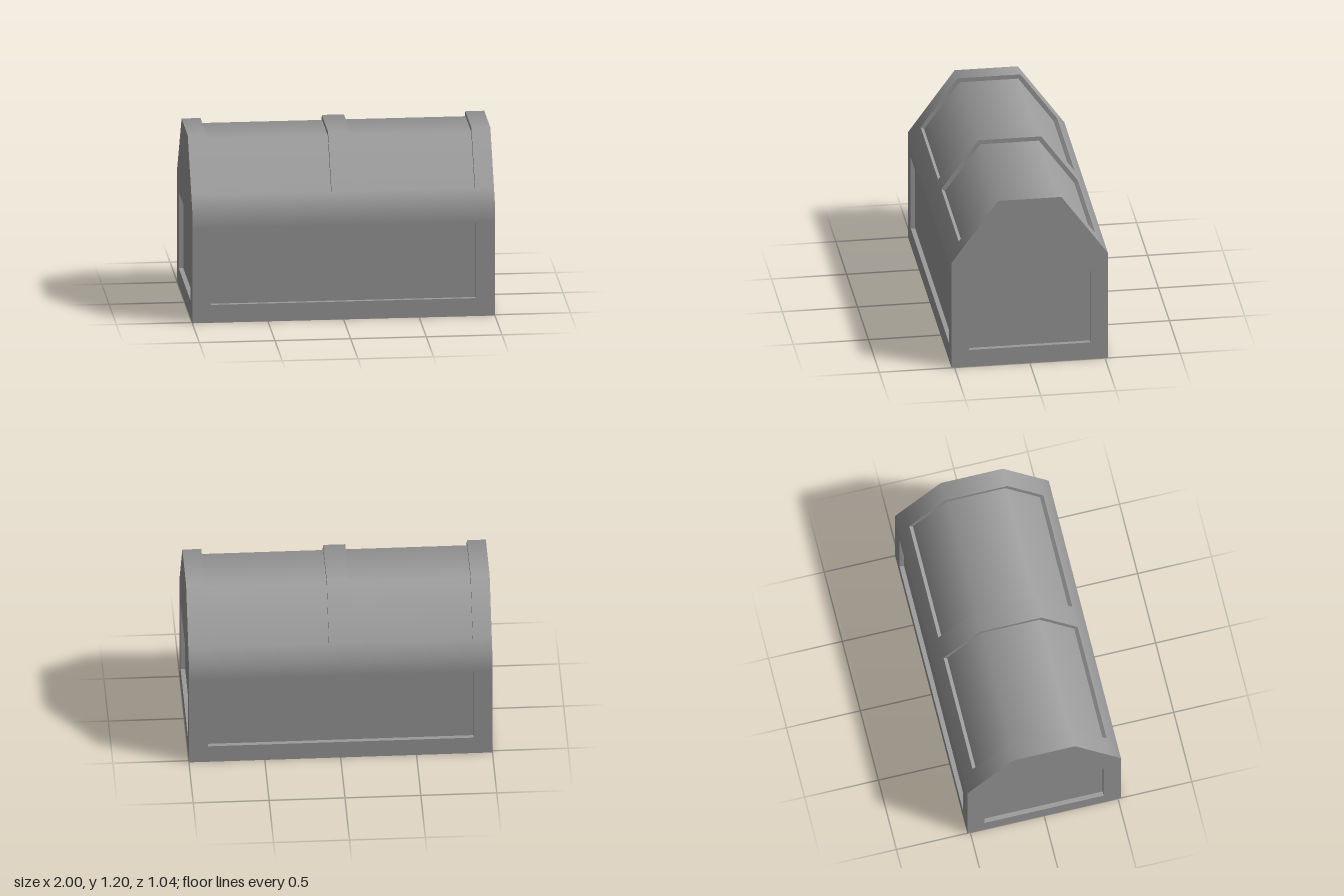
import * as THREE from 'three';
import { mergeGeometries } from 'three/addons/utils/BufferGeometryUtils.js';

const DEPTH = 0.03; // how far the panels are sunk
const LOW = 0.122, HIGH = 0.642; // height range of the wall panels
const TOP = 1.197;
const material = new THREE.MeshStandardMaterial({ color: 0x9b9b9b, side: THREE.DoubleSide });

// Geometry from a list of quads, corners counter-clockwise seen from outside
function quadGeometry(quads) {
  const g = new THREE.BufferGeometry();
  const pos = quads.flatMap(([a, b, c, d]) => [a, b, c, a, c, d]).flat();
  g.setAttribute('position', new THREE.Float32BufferAttribute(pos, 3));
  g.computeVertexNormals();
  return g;
}

function addMesh(parent, name, geometry) {
  const mesh = new THREE.Mesh(geometry, material);
  mesh.name = name;
  parent.add(mesh);
  return mesh;
}

// Cross-section [z, y] over the chest, front half mirrored to the back
const mirror = (pts) => [...pts, ...pts.map(([z, y]) => [-z, y]).reverse()];
const outer = mirror([[0.52, 0], [0.52, LOW], [0.52, HIGH], [0.52, 0.765], [0.454, 0.858], [0.21, TOP]]);
const inner = mirror([[0.52, 0], [0.52 - DEPTH, LOW], [0.52 - DEPTH, HIGH], [0.52, 0.765],
  [0.43, 0.841], [0.195, TOP - DEPTH]]);
const xs = [-1, -0.875, -0.073, 0.073, 0.875, 1];

// Smooth normal at each cross-section point, the mean of its two segments
const segmentNormals = outer.slice(1).map(([z, y], s) =>
  new THREE.Vector3(0, outer[s][0] - z, y - outer[s][1]).normalize());
const normals = outer.map((_, s) => new THREE.Vector3()
  .add(segmentNormals[Math.max(s - 1, 0)])
  .add(segmentNormals[Math.min(s, segmentNormals.length - 1)])
  .normalize().toArray());

// Quads between cross-section points, smooth around the cross-section
function smoothGeometry(cells) {
  const g = quadGeometry(cells.map((cell) => cell.quad));
  const n = cells.flatMap(({ s }) => [s, s, s + 1, s, s + 1, s + 1]).flatMap((i) => normals[i]);
  g.setAttribute('normal', new THREE.Float32BufferAttribute(n, 3));
  return g;
}

// Which cells of the x / cross-section grid are sunk
const isWallPanel = (b, s) => (s === 1 || s === 9) && b >= 1 && b <= 3;
const isLidPanel = (b, s) => s >= 4 && s <= 6 && (b === 1 || b === 3);
const isPanel = (b, s) => isWallPanel(b, s) || isLidPanel(b, s);

function addShell(parent) {
  const frame = [], rims = [], wallPanels = [], lidPanels = [];
  const at = (k, profile, s) => [xs[k], profile[s][1], profile[s][0]];
  for (let b = 0; b < xs.length - 1; b++) {
    for (let s = 0; s < outer.length - 1; s++) {
      const sunk = isPanel(b, s);
      const p = sunk ? inner : outer;
      const list = isLidPanel(b, s) ? lidPanels : sunk ? wallPanels : frame;
      list.push({ s, quad: [at(b, p, s), at(b + 1, p, s), at(b + 1, p, s + 1), at(b, p, s + 1)] });
      // recess rims across x
      if (b > 0 && sunk !== isPanel(b - 1, s)) {
        const q = [at(b, outer, s), at(b, inner, s), at(b, inner, s + 1), at(b, outer, s + 1)];
        rims.push(sunk ? q : q.reverse());
      }
      // recess rims along x
      if (s > 0 && sunk !== isPanel(b, s - 1)) {
        const q = [at(b, outer, s), at(b + 1, outer, s), at(b + 1, inner, s), at(b, inner, s)];
        rims.push(sunk ? q : q.reverse());
      }
    }
  }
  addMesh(parent, 'frame', smoothGeometry(frame));
  addMesh(parent, 'recessRims', quadGeometry(rims));
  addMesh(parent, 'wallPanels', smoothGeometry(wallPanels));
  addMesh(parent, 'lidPanels', smoothGeometry(lidPanels));
}

// End wall with its sunk panel, built facing +z
function endWallGeometry() {
  const w = 0.403;
  const corners = [[-w, LOW], [w, LOW], [w, HIGH], [-w, HIGH]];
  const shape = new THREE.Shape(outer.map(([z, y]) => new THREE.Vector2(z, y)));
  shape.holes.push(new THREE.Path(corners.map(([x, y]) => new THREE.Vector2(x, y))));
  const wall = new THREE.ShapeGeometry(shape).toNonIndexed();
  wall.deleteAttribute('uv');
  const quads = [corners.map(([x, y]) => [x, y, -DEPTH])];
  corners.forEach((a, i) => {
    const c = corners[(i + 1) % 4];
    quads.push([[...a, 0], [...c, 0], [...c, -DEPTH], [...a, -DEPTH]]);
  });
  return mergeGeometries([wall, quadGeometry(quads)]);
}

export function createModel() {
  const chest = new THREE.Group();
  chest.name = 'chest';
  addShell(chest); // the underside stays open
  for (const side of [1, -1]) {
    const end = addMesh(chest, side > 0 ? 'leftEndWall' : 'rightEndWall', endWallGeometry());
    end.rotation.y = side * Math.PI / 2;
    end.position.x = side;
  }
  return chest;
}
